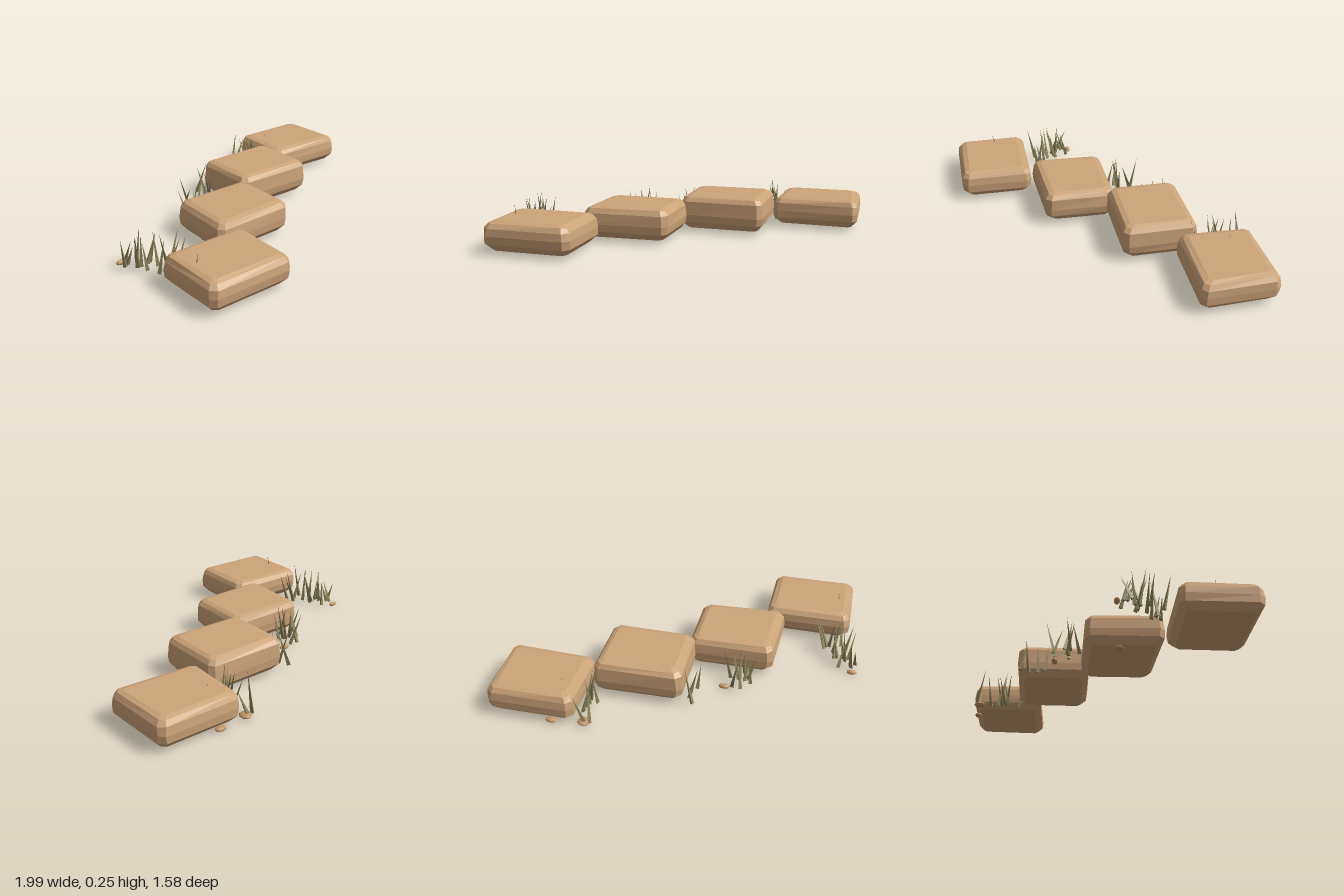
import * as THREE from 'three';

const material = (name, color) => {
  const m = new THREE.MeshStandardMaterial({ color, flatShading: true });
  m.name = name;
  return m;
};

// Small seeded generator for natural variation
function seeded(seed) {
  let s = seed;
  return () => (s = (s * 16807) % 2147483647) / 2147483647;
}

// Slab outline: corner-cut quad [x, z] (back-left, back-right, front-right, front-left)
function outline(quad, inset, cut) {
  const cx = quad.reduce((a, p) => a + p[0], 0) / 4;
  const cz = quad.reduce((a, p) => a + p[1], 0) / 4;
  const q = quad.map(([x, z]) => new THREE.Vector2(
    x - Math.sign(x - cx) * inset, z - Math.sign(z - cz) * inset));
  const ring = [];
  q.forEach((p, i) => {
    for (const other of [q[(i + 3) % 4], q[(i + 1) % 4]]) {
      ring.push(p.clone().add(other.clone().sub(p).setLength(cut)));
    }
  });
  return ring;
}

// Chamfered stone lofted through horizontal rings
function slabGeometry(quad, y0, y1, rand) {
  const levels = [
    [y0, 0.04, 0.022], [y0 + 0.04, 0.004, 0.03], [y0 + 0.085, 0, 0.03],
    [y1 - 0.036, 0.006, 0.03], [y1 - 0.01, 0.024, 0.025], [y1, 0.052, 0.02],
  ];
  const pos = [], index = [], n = 8;
  levels.forEach(([y, inset, cut], k) => {
    const flat = k === 0 || k === levels.length - 1;
    for (const p of outline(quad, inset, cut)) {
      pos.push(p.x + (rand() - 0.5) * 0.005, y + (flat ? 0 : (rand() - 0.5) * 0.005),
        p.y + (rand() - 0.5) * 0.005);
    }
  });
  for (let k = 0; k < levels.length - 1; k++) {
    for (let i = 0; i < n; i++) {
      const a = k * n + i, b = k * n + (i + 1) % n;
      index.push(a, a + n, b, b, a + n, b + n);
    }
  }
  const top = (levels.length - 1) * n;
  for (let i = 1; i < n - 1; i++) {
    index.push(0, i, i + 1, top, top + i + 1, top + i);
  }
  const g = new THREE.BufferGeometry();
  g.setAttribute('position', new THREE.Float32BufferAttribute(pos, 3));
  g.setIndex(index);
  g.computeVertexNormals();
  return g;
}

export function createModel() {
  const group = new THREE.Group();
  const stone = material('sandstone', 0xcda478);
  const grass = material('dry grass', 0x8f875c);
  const pebbleMat = material('pebble brown', 0xc29464);
  const rand = seeded(4721);

  const add = (parent, name, geometry, mat) => {
    const mesh = new THREE.Mesh(geometry, mat);
    mesh.name = name;
    parent.add(mesh);
    return mesh;
  };

  // Four stepping slabs
  const slabs = [
    [[[-0.918, 0.343], [-0.398, 0.348], [-0.403, 0.784], [-0.918, 0.787]], 0.018, 0.185],
    [[[-0.505, -0.112], [-0.003, -0.114], [-0.01, 0.31], [-0.523, 0.331]], 0.018, 0.202],
    [[[-0.052, -0.488], [0.466, -0.492], [0.464, -0.057], [-0.047, -0.06]], 0.018, 0.22],
    [[[0.486, -0.783], [0.982, -0.785], [1.0, -0.34], [0.475, -0.352]], 0.018, 0.185],
  ];
  slabs.forEach(([quad, y0, y1], i) =>
    add(group, `slab${i + 1}`, slabGeometry(quad, y0, y1, rand), stone));

  // Grass blades: [x, z, tip height], grouped in tufts
  const tufts = {
    leftTuft: [[-0.98, 0.1, 0.15], [-0.955, 0.08, 0.13], [-0.96, 0.06, 0.16], [-0.93, 0.14, 0.2],
      [-0.92, 0.12, 0.23], [-0.88, 0.05, 0.17], [-0.91, 0.2, 0.2], [-0.88, 0.27, 0.23],
      [-0.85, 0.13, 0.22], [-0.84, 0.19, 0.24], [-0.81, 0.25, 0.21], [-0.78, 0.22, 0.23],
      [-0.77, 0.27, 0.19], [-0.91, 0.15, 0.18], [-0.87, 0.14, 0.2], [-0.8, 0.24, 0.18]],
    middleTuft: [[-0.35, -0.28, 0.18], [-0.3, -0.27, 0.22], [-0.4, -0.22, 0.2], [-0.38, -0.18, 0.2],
      [-0.35, -0.13, 0.2], [-0.32, -0.19, 0.24], [-0.28, -0.19, 0.21], [-0.36, -0.2, 0.18],
      [-0.33, -0.2, 0.22]],
    smallTuft: [[-0.11, -0.47, 0.21], [-0.08, -0.42, 0.2], [-0.11, -0.33, 0.17], [-0.08, -0.37, 0.18]],
    rightTuft: [[0.45, -0.6, 0.22], [0.41, -0.58, 0.2], [0.46, -0.57, 0.23], [0.47, -0.62, 0.2],
      [0.45, -0.56, 0.17], [0.475, -0.5, 0.22], [0.455, -0.63, 0.24], [0.465, -0.67, 0.2],
      [0.4, -0.755, 0.24], [0.43, -0.75, 0.17]],
    strayBlades: [[-0.84, 0.51, 0.24], [-0.13, 0.005, 0.213], [0.58, -0.57, 0.2]],
  };
  const up = new THREE.Vector3(0, 1, 0);
  for (const [name, blades] of Object.entries(tufts)) {
    const tuft = new THREE.Group();
    tuft.name = name;
    for (const [x, z, tip] of blades) {
      const angle = rand() * Math.PI * 2, lean = 0.03 + rand() * 0.035;
      const dx = x < -0.94 ? Math.abs(Math.cos(angle)) * lean * 0.4 : Math.cos(angle) * lean;
      const dz = Math.max(Math.sin(angle) * lean, -0.785 - z);
      const dir = new THREE.Vector3(dx, tip - 0.015, dz);
      const length = dir.length();
      const blade = add(tuft, 'grassBlade',
        new THREE.ConeGeometry(0.013, length, 3).translate(0, length / 2, 0), grass);
      blade.quaternion.setFromUnitVectors(up, dir.normalize());
      blade.rotateY(angle * 2);
      blade.position.set(x, 0.02, z);
    }
    group.add(tuft);
  }

  // Flattened pebbles: [x, z, half width, half height, half depth]
  const pebbles = [
    [-0.965, 0.027, 0.03, 0.014, 0.016], [-0.255, -0.27, 0.034, 0.014, 0.018],
    [0.435, -0.742, 0.036, 0.014, 0.036], [0.615, -0.765, 0.034, 0.012, 0.022],
    [-0.44, 0.08, 0.034, 0.013, 0.03],
  ];
  for (const [x, z, w, h, d] of pebbles) {
    const pebble = add(group, 'pebble', new THREE.SphereGeometry(1, 9, 6), pebbleMat);
    pebble.scale.set(w, h, d);
    pebble.position.set(x, h, z);
  }
  return group;
}
